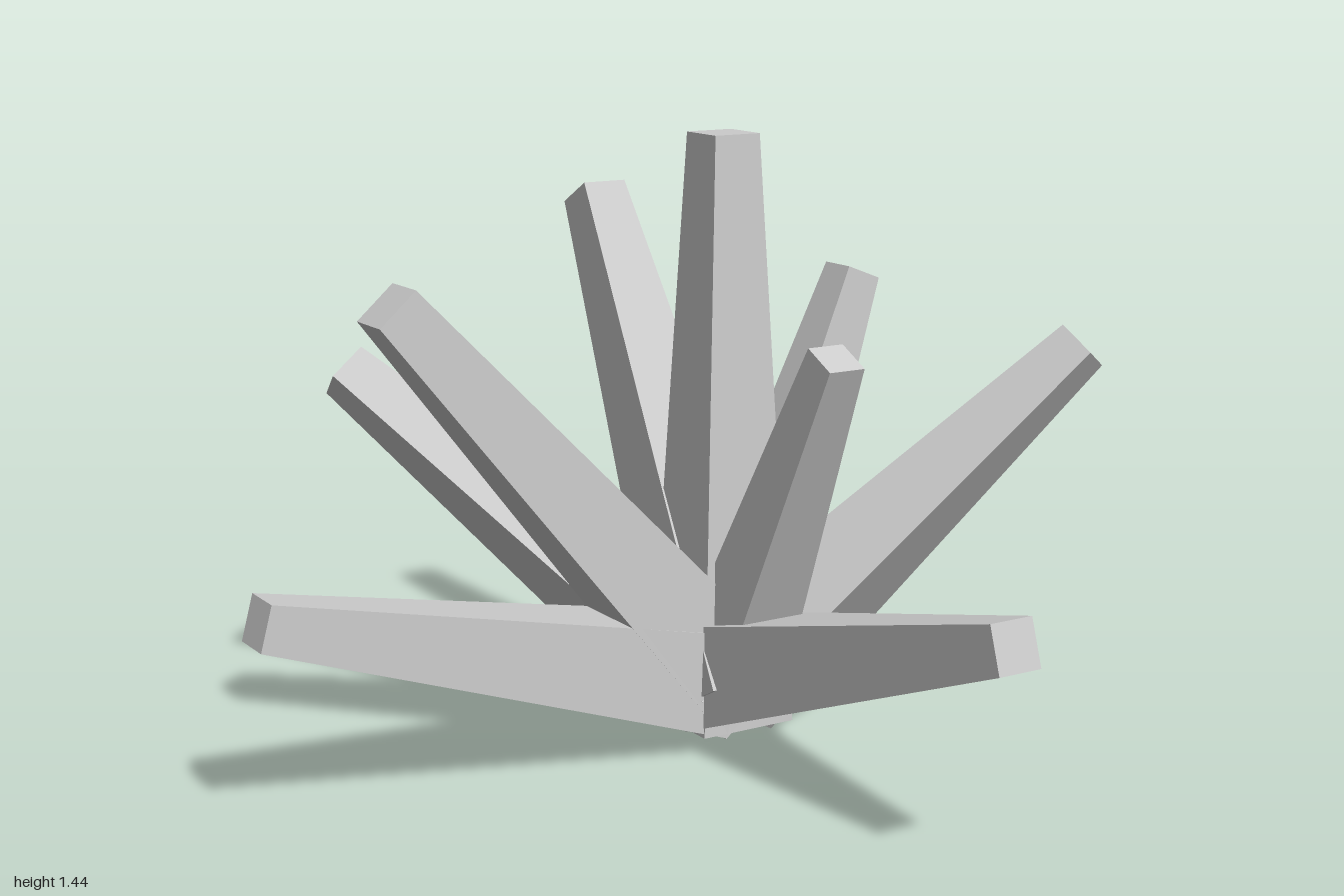
import * as THREE from 'three';

const material = new THREE.MeshStandardMaterial({ color: 0xcccccc, flatShading: true });

// Tapered square shard from base to tip; side gives the direction of its local x axis
function shard(name, base, tip, baseWidth, tipWidth, side = [1, 0, 0]) {
  const a = new THREE.Vector3(...base);
  const b = new THREE.Vector3(...tip);
  const y = b.clone().sub(a);
  const length = y.length();
  y.normalize();
  const x = new THREE.Vector3(...side);
  x.addScaledVector(y, -x.dot(y)).normalize();
  const z = new THREE.Vector3().crossVectors(x, y);

  const geometry = new THREE.CylinderGeometry(tipWidth * Math.SQRT1_2, baseWidth * Math.SQRT1_2, length, 4);
  geometry.rotateY(Math.PI / 4);
  geometry.translate(0, length / 2, 0);
  geometry.applyMatrix4(new THREE.Matrix4().makeBasis(x, y, z).setPosition(a));
  const mesh = new THREE.Mesh(geometry, material);
  mesh.name = name;
  return mesh;
}

export function createModel() {
  const group = new THREE.Group();
  group.name = 'crystalCluster';
  const alongZ = [0, 0, 1];
  group.add(
    // upright centre
    shard('centreShard', [0.21, 0.03, -0.1], [0.21, 1.43, -0.1], 0.25, 0.12),
    // shards leaning straight to the sides
    shard('rightLowShard', [0.18, 0.14, -0.1], [-0.965, 0.45, -0.105], 0.25, 0.107, alongZ),
    shard('rightHighShard', [0.24, 0.1, -0.1], [-0.645, 1.105, -0.1], 0.25, 0.115, alongZ),
    shard('leftShard', [0.2, 0.1, -0.1], [0.585, 1.083, -0.105], 0.21, 0.094, alongZ),
    // shards leaning straight to front and back
    shard('backShard', [0.205, 0.1, -0.04], [0.205, 1.238, -0.68], 0.25, 0.115),
    shard('frontHighShard', [0.205, 0.08, -0.09], [0.205, 0.98, 0.36], 0.2, 0.092),
    shard('frontLowShard', [0.205, 0.144, -0.09], [0.205, 0.497, 0.985], 0.25, 0.108),
    // diagonal shards
    shard('frontLeftShard', [0.21, 0.11, -0.09], [0.93, 0.935, 0.335], 0.24, 0.1, [0.77, -0.45, -0.45]),
    shard('backLeftShard', [0.2, 0.13, -0.1], [0.713, 1.007, -0.943], 0.25, 0.12, [0.93, -0.28, 0.24]),
    shard('backRightShard', [0.2, 0.12, -0.1], [-0.462, 0.84, -0.742], 0.24, 0.106, [0.82, 0.55, -0.19])
  );
  return group;
}
